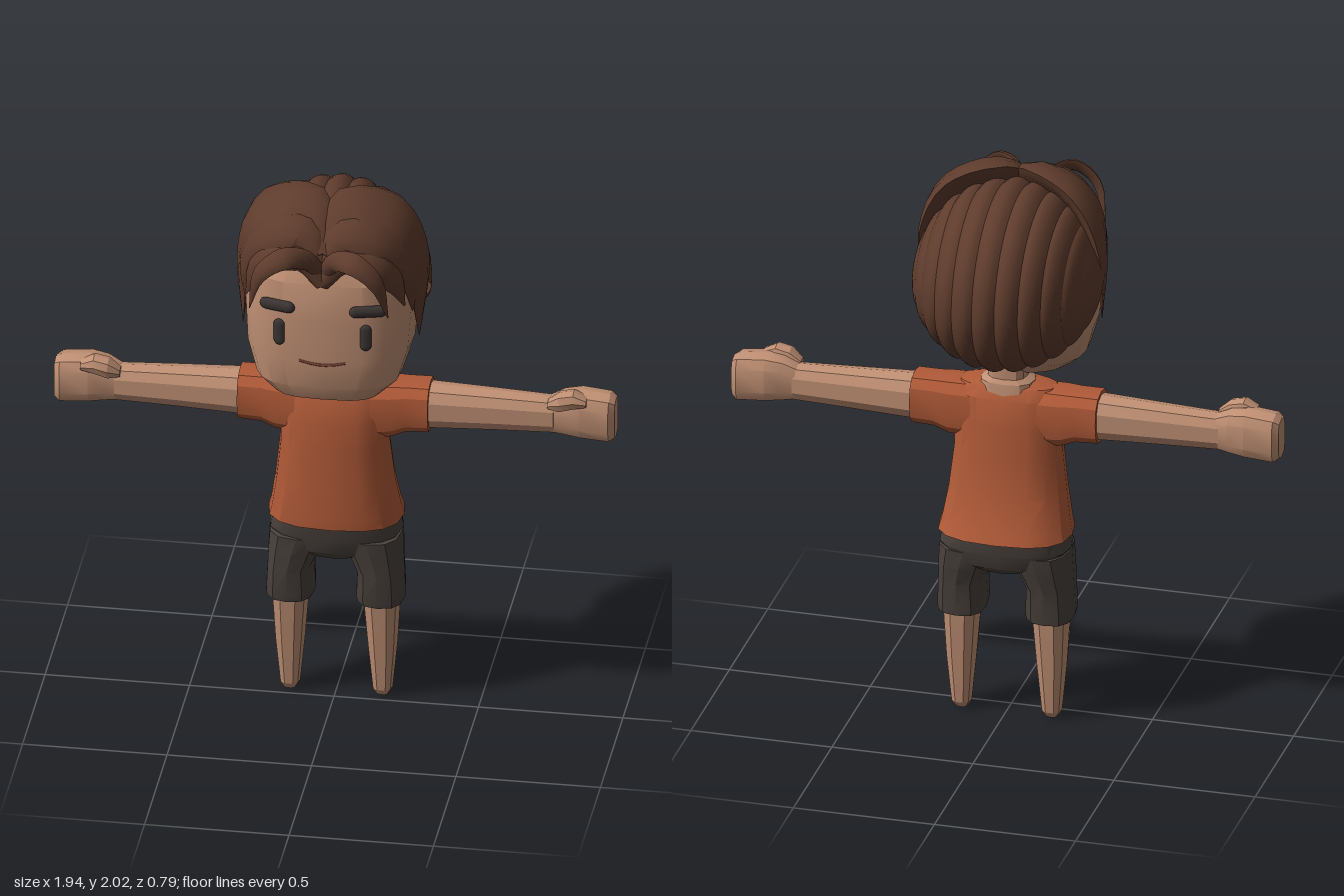
import * as THREE from 'three';
import { toCreasedNormals } from 'three/addons/utils/BufferGeometryUtils.js';

const paint = (name, hex) => {
  const m = new THREE.MeshStandardMaterial({ color: hex });
  m.name = name;
  return m;
};

// Skin a row of closed rings (counter-clockwise about the direction of travel), with end caps.
function loft(rings, crease = 0.45, mirror = false) {
  if (mirror) rings = rings.map(r => r.map(([x, y, z]) => [-x, y, z]).reverse());
  const n = rings[0].length, last = rings.length - 1;
  const pos = rings.flat(2), idx = [];
  for (let i = 0; i < last; i++) for (let j = 0; j < n; j++) {
    const k = (j + 1) % n, a = i * n + j, b = i * n + k;
    idx.push(a, b, b + n, a, b + n, a + n);
  }
  for (const i of [0, last]) {
    const c = pos.length / 3;
    for (let d = 0; d < 3; d++) pos.push(rings[i].reduce((s, p) => s + p[d], 0) / n);
    for (let j = 0; j < n; j++) {
      const a = i * n + j, b = i * n + (j + 1) % n;
      idx.push(c, ...(i ? [a, b] : [b, a]));
    }
  }
  const g = new THREE.BufferGeometry();
  g.setAttribute('position', new THREE.Float32BufferAttribute(pos, 3));
  g.setIndex(idx);
  return toCreasedNormals(g, crease);
}

// Superellipse rings from bounds: axis 'y' takes [y, x0, x1, z0, z1], axis 'x' takes [x, y0, y1, z0, z1].
function rings(axis, list, sides = 12, exp = 2.6, expBack = exp) {
  return list.map(([t, u0, u1, z0, z1]) => Array.from({ length: sides }, (_, j) => {
    const a = j / sides * Math.PI * 2, c = Math.cos(a), s = Math.sin(a) * (axis === 'y' ? -1 : 1);
    const e = 2 / (s < 0 ? expBack : exp);
    const u = (u0 + u1) / 2 + (u1 - u0) / 2 * Math.sign(c) * Math.abs(c) ** e;
    const z = (z0 + z1) / 2 + (z1 - z0) / 2 * Math.sign(s) * Math.abs(s) ** e;
    return axis === 'y' ? [u, t, z] : [t, u, z];
  }));
}

const HAIR = new THREE.Vector3(0, 1.62, -0.03);

// Tapered lock of hair: lens section swept along a path, lying flat against the head.
function lockRings(points, widths, thick) {
  const curve = new THREE.CatmullRomCurve3(points.map(p => new THREE.Vector3(...p)));
  const steps = 16, out = [];
  for (let i = 0; i <= steps; i++) {
    const u = i / steps, p = curve.getPoint(u), t = curve.getTangent(u);
    const side = t.clone().cross(p.clone().sub(HAIR)).normalize();
    const n = t.clone().cross(side).normalize();
    const f = u * (widths.length - 1), k = Math.min(Math.floor(f), widths.length - 2);
    const w = THREE.MathUtils.lerp(widths[k], widths[k + 1], f - k);
    const h = thick * Math.min(1, (1 - u) * 2.5) + 0.001;
    out.push(Array.from({ length: 10 }, (_, j) => {
      const a = j / 10 * Math.PI * 2, s = Math.sin(a);
      return p.clone().addScaledVector(side, w * Math.cos(a))
        .addScaledVector(n, h * Math.sign(s) * Math.abs(s) ** 1.3).toArray();
    }));
  }
  return out;
}

// Back hair: a thick wedge of an ellipsoid, scalloped into strands running front to nape.
function capRings() {
  const strands = 13, per = 6, out = [];
  for (let i = 0; i <= strands * per; i++) {
    const phi = (i / (strands * per) - 0.5) * Math.PI;
    const bulge = 0.965 + 0.045 * Math.abs(Math.sin(i / per * Math.PI)) ** 0.7;
    const at = (deg, k) => {
      const th = deg * Math.PI / 180, s = Math.sin(th), c = Math.cos(phi) * k;
      return [0.33 * Math.sin(phi), HAIR.y + (s > 0 ? 0.35 : 0.31) * c * s, HAIR.z - 0.36 * c * Math.cos(th)];
    };
    const arc = Array.from({ length: 25 }, (_, j) => -54 + j * 194 / 24);
    out.push([...arc.map(d => at(d, bulge)), ...arc.filter((_, j) => j % 4 === 0).reverse().map(d => at(d, 0.84))]);
  }
  return out;
}

export function createModel() {
  const skin = paint('skin', 0xc09074), shirt = paint('shirt orange', 0xb05a38);
  const cloth = paint('shorts charcoal', 0x4a423d), hair = paint('hair brown', 0x5e3c2d);
  const dark = paint('eye dark', 0x3b3533), lip = paint('mouth brown', 0x7a4332);
  const model = new THREE.Group();
  const add = (name, geo, mat) => {
    const m = new THREE.Mesh(geo, mat);
    m.name = name;
    model.add(m);
    return m;
  };
  const pair = (name, r, mat, crease) => {
    add(name + 'Left', loft(r, crease), mat);
    add(name + 'Right', loft(r, crease, true), mat);
  };
  const sym = ([y, rx, z0, z1]) => [y, -rx, rx, z0, z1];

  // Head and neck
  add('head', loft(rings('y', [
    [1.265, 0.12, 0.0, 0.19], [1.285, 0.19, -0.06, 0.235], [1.34, 0.25, -0.13, 0.258],
    [1.45, 0.285, -0.22, 0.265], [1.6, 0.295, -0.29, 0.265], [1.74, 0.285, -0.29, 0.26],
    [1.84, 0.22, -0.25, 0.21], [1.9, 0.12, -0.15, 0.11],
  ].map(sym), 20, 3.2, 2.3)), skin);
  add('neck', loft(rings('y', [[1.18, 0.1, -0.12, 0.04], [1.255, 0.095, -0.11, 0.035],
    [1.27, 0.07, -0.1, 0.03], [1.34, 0.07, -0.1, 0.03]].map(sym))), skin);

  // Face
  for (const s of [-1, 1]) {
    const eye = add('eye', new THREE.CapsuleGeometry(0.02, 0.06, 4, 10), dark);
    eye.scale.z = 0.5;
    eye.position.set(s * 0.15, 1.55, 0.257);
    eye.rotation.y = s * 0.15;
    const brow = add('eyebrow', new THREE.CapsuleGeometry(0.022, 0.085, 4, 10).rotateZ(Math.PI / 2), dark);
    brow.scale.z = 0.7;
    brow.position.set(s * 0.157, 1.65, 0.252);
    brow.rotation.y = s * 0.25;
  }
  const smile = new THREE.CatmullRomCurve3([[-0.08, 1.446, 0.258], [-0.04, 1.438, 0.262], [0, 1.436, 0.266],
    [0.04, 1.438, 0.262], [0.08, 1.446, 0.258]].map(p => new THREE.Vector3(...p)));
  add('mouth', new THREE.TubeGeometry(smile, 12, 0.005, 6), lip);

  // Hair: back cap and mirrored front locks
  add('backHair', loft(capRings(), 0.6), hair);
  const locks = [
    ['sideLock', [[0, 1.84, 0.23], [0.09, 1.95, 0.13], [0.22, 1.9, 0.09], [0.295, 1.74, 0.06], [0.305, 1.47, 0.06]],
      [0.04, 0.12, 0.14, 0.1, 0.003], 0.045],
    ['templeLock', [[0, 1.8, 0.25], [0.08, 1.915, 0.22], [0.19, 1.89, 0.19], [0.28, 1.75, 0.14], [0.29, 1.59, 0.11]],
      [0.03, 0.07, 0.08, 0.06, 0.003], 0.03],
    ['fringeLock', [[0, 1.75, 0.26], [0.07, 1.85, 0.26], [0.17, 1.84, 0.25], [0.24, 1.76, 0.22], [0.275, 1.65, 0.19]],
      [0.025, 0.055, 0.06, 0.045, 0.003], 0.025],
    ['looseLock', [[0, 1.77, 0.25], [0.05, 1.865, 0.31], [0.12, 1.89, 0.36], [0.2, 1.83, 0.37], [0.24, 1.68, 0.34]],
      [0.02, 0.035, 0.04, 0.03, 0.002], 0.014],
  ];
  for (const [name, path, widths, thick] of locks) pair(name, lockRings(path, widths, thick), hair, 0.7);

  // Shirt
  add('shirtBody', loft(rings('y', [
    [0.7, 0.235, -0.23, 0.1], [0.74, 0.225, -0.21, 0.1], [0.85, 0.207, -0.17, 0.095], [1.0, 0.19, -0.15, 0.09],
    [1.1, 0.19, -0.14, 0.085], [1.2, 0.19, -0.125, 0.065], [1.238, 0.17, -0.1, 0.04], [1.252, 0.1, -0.08, 0.03],
  ].map(sym), 16)), shirt);
  pair('sleeve', rings('x', [[0.1, 1.02, 1.24, -0.12, 0.06], [0.2, 1.03, 1.242, -0.125, 0.055],
    [0.25, 1.05, 1.24, -0.12, 0.045], [0.33, 1.055, 1.24, -0.122, 0.045]]), shirt);

  // Arms and fists
  pair('arm', rings('x', [[0.28, 1.065, 1.23, -0.11, 0.03], [0.55, 1.075, 1.22, -0.1, 0.018],
    [0.76, 1.08, 1.212, -0.09, 0.01]], 10), skin);
  pair('hand', rings('x', [[0.74, 1.085, 1.21, -0.085, 0.005], [0.79, 1.078, 1.235, -0.1, 0.012],
    [0.85, 1.07, 1.245, -0.11, 0.02], [0.95, 1.062, 1.235, -0.108, 0.018],
    [0.97, 1.075, 1.22, -0.09, 0.0]], 10, 3.2), skin);
  pair('thumb', rings('x', [[0.74, 1.185, 1.215, -0.03, 0.015], [0.78, 1.18, 1.25, -0.04, 0.035],
    [0.83, 1.195, 1.26, -0.04, 0.035], [0.875, 1.205, 1.235, -0.03, 0.025]], 8), skin);

  // Shorts
  add('shortsSeat', loft(rings('y', [[0.56, 0.1, -0.15, 0.04], [0.59, 0.19, -0.185, 0.065],
    [0.65, 0.232, -0.205, 0.08], [0.73, 0.22, -0.205, 0.088]].map(sym), 16)), cloth);
  pair('shortsLeg', rings('y', [[0.38, 0.075, 0.238, -0.15, 0.048], [0.4, 0.07, 0.242, -0.152, 0.052],
    [0.5, 0.075, 0.236, -0.16, 0.06], [0.57, 0.045, 0.234, -0.18, 0.068], [0.64, 0.01, 0.23, -0.19, 0.075]]), cloth);

  // Legs
  pair('leg', rings('y', [[0, 0.14, 0.18, -0.075, -0.035], [0.025, 0.125, 0.195, -0.095, -0.018],
    [0.2, 0.108, 0.212, -0.115, 0.005], [0.42, 0.09, 0.225, -0.135, 0.03]], 10), skin);

  return model;
}
